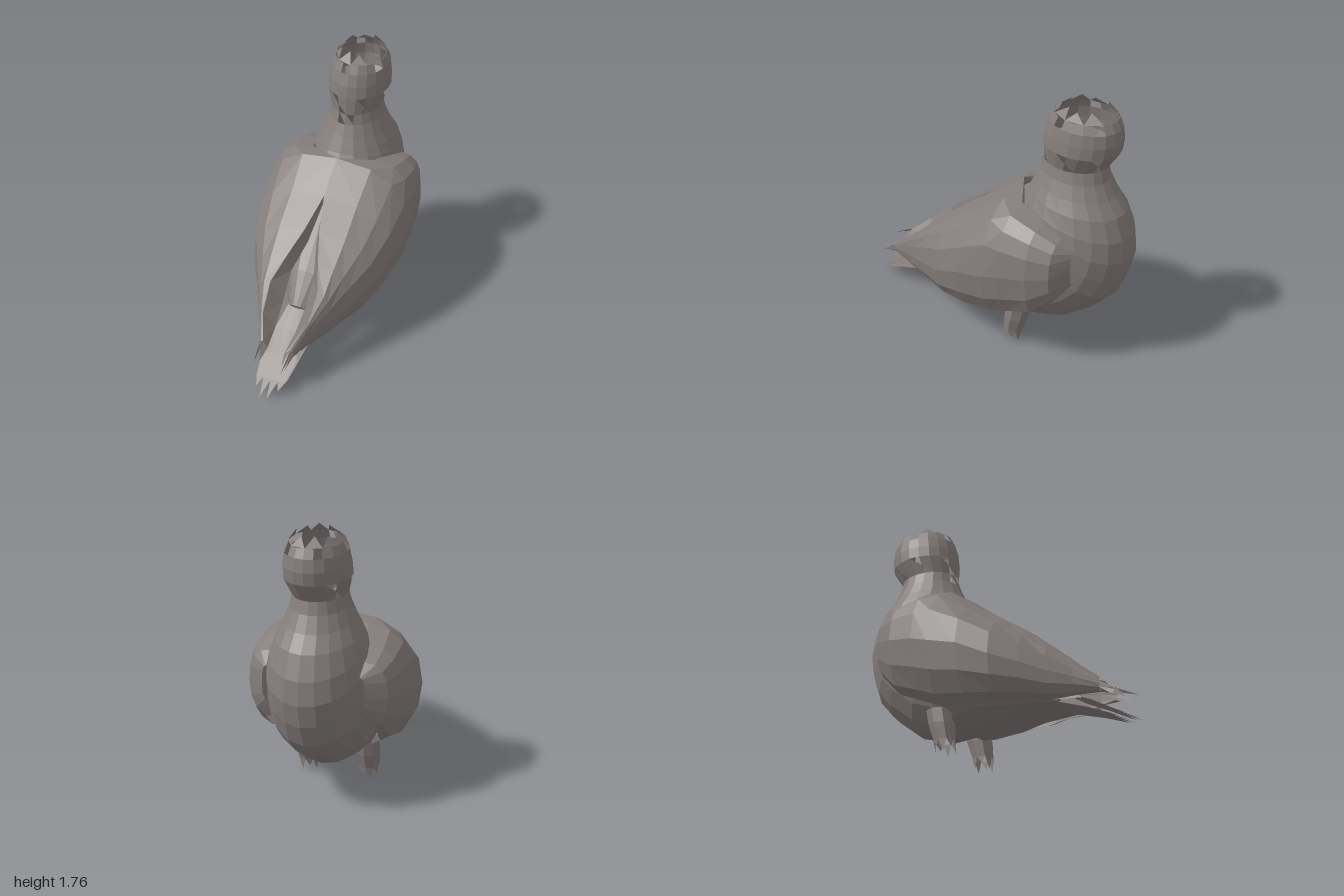
import * as THREE from 'three';

const plumage = new THREE.MeshStandardMaterial({ color: 0x857d7b, flatShading: true, side: THREE.DoubleSide });
plumage.name = 'warm grey plumage';

const SEG = 20;

function meshFrom(name, pos) {
  const g = new THREE.BufferGeometry();
  g.setAttribute('position', new THREE.Float32BufferAttribute(pos, 3));
  g.computeVertexNormals();
  const m = new THREE.Mesh(g, plumage);
  m.name = name;
  return m;
}

// Skin between rows of points; skip(row, column, half) leaves a notch open
function loft(rows, closed, skip = () => false) {
  const pos = [];
  for (let i = 0; i < rows.length - 1; i++) {
    const n = rows[i].length;
    for (let j = 0; j < (closed ? n : n - 1); j++) {
      const k = (j + 1) % n;
      const a = rows[i][j], b = rows[i][k], c = rows[i + 1][k], d = rows[i + 1][j];
      if (!skip(i, j, 0)) pos.push(...a, ...c, ...b);
      if (!skip(i, j, 1)) pos.push(...a, ...d, ...c);
    }
  }
  return pos;
}

// Elliptical ring running from a front point to a back point
function ring([fz, fy, bz, by, w], seg = SEG) {
  return Array.from({ length: seg }, (_, j) => {
    const t = (j / seg) * Math.PI * 2, c = Math.cos(t);
    return [w * Math.sin(t), (fy + by) / 2 + ((fy - by) / 2) * c, (fz + bz) / 2 + ((fz - bz) / 2) * c];
  });
}

// One triangular feather tip for each segment of a row
function spikes(row, closed, tip) {
  const pos = [];
  for (let j = 0; j < (closed ? row.length : row.length - 1); j++) {
    const a = row[j], b = row[(j + 1) % row.length];
    const mid = a.map((v, i) => (v + b[i]) / 2);
    pos.push(...a, ...tip(mid, j), ...b);
  }
  return pos;
}

const everyOther = (row) => row.filter((_, j) => j % 2 === 0);

// Breast, back and neck: frontZ, frontY, backZ, backY, half width
const BODY = [
  [0.36, 0.25, 0.46, 0.38, 0.08],
  [0.12, 0.25, 0.31, 0.56, 0.18],
  [-0.18, 0.18, 0.12, 0.74, 0.28],
  [-0.42, 0.175, 0, 0.86, 0.32],
  [-0.6, 0.23, -0.08, 0.93, 0.335],
  [-0.8, 0.38, -0.15, 1.0, 0.34],
  [-0.91, 0.5, -0.19, 1.04, 0.335],
  [-0.97, 0.65, -0.22, 1.08, 0.325],
  [-1, 0.8, -0.25, 1.1, 0.315],
  [-0.985, 0.95, -0.27, 1.13, 0.295],
  [-0.93, 1.1, -0.29, 1.17, 0.26],
  [-0.86, 1.2, -0.32, 1.23, 0.22],
  [-0.81, 1.3, -0.355, 1.31, 0.183],
  [-0.79, 1.38, -0.37, 1.38, 0.166],
];
const HEAD = [
  [-0.79, 1.38, -0.37, 1.38, 0.166],
  [-0.83, 1.44, -0.37, 1.44, 0.185],
  [-0.868, 1.5, -0.37, 1.5, 0.204],
  [-0.88, 1.58, -0.38, 1.58, 0.2],
  [-0.87, 1.66, -0.405, 1.66, 0.187],
];

// Wing slices: z, inner x, top y, widest x, its y, lower x, lower y, inner wall x, inner wall y
const WING = [
  [-0.745, 0.3, 0.92, 0.33, 0.78, 0.3, 0.68, 0.27, 0.88],
  [-0.66, 0.29, 0.99, 0.45, 0.77, 0.37, 0.56, 0.25, 0.96],
  [-0.52, 0.27, 1.05, 0.5, 0.74, 0.36, 0.41, 0.22, 1.02],
  [-0.33, 0.22, 1.1, 0.515, 0.7, 0.33, 0.33, 0.18, 1.06],
  [-0.21, 0, 1.133, 0.515, 0.66, 0.31, 0.28, 0, 1.09],
  [0, 0, 0.965, 0.49, 0.6, 0.3, 0.25, 0, 0.92],
  [0.2, 0.05, 0.82, 0.43, 0.5, 0.27, 0.24, 0.03, 0.72],
  [0.36, 0.11, 0.695, 0.34, 0.44, 0.22, 0.235, 0.08, 0.58],
  [0.5, 0.165, 0.57, 0.26, 0.38, 0.17, 0.215, 0.08, 0.42],
  [0.65, 0.15, 0.435, 0.18, 0.33, 0.12, 0.23, 0.07, 0.32],
  [0.79, 0.09, 0.32, 0.12, 0.27, 0.08, 0.23, 0.06, 0.27],
];

function wingSlice([z, xi, yt, xm, ym, xb, yb, xw, yw], side) {
  const pts = [[side * xw, yw, z]], bulge = 0.78;
  for (let j = 0; j <= 4; j++) {
    const t = (j / 4) * Math.PI / 2;
    pts.push([side * (xi + (xm - xi) * Math.sin(t) ** bulge), ym + (yt - ym) * Math.cos(t) ** bulge, z]);
  }
  for (let j = 1; j <= 3; j++) {
    const t = (j / 3) * Math.PI / 2;
    pts.push([side * (xb + (xm - xb) * Math.cos(t)), ym + (yb - ym) * Math.sin(t), z]);
  }
  return pts;
}

function makeWing(side) {
  const rows = WING.map((s) => wingSlice(s, side));
  const group = new THREE.Group();
  group.name = side > 0 ? 'leftWing' : 'rightWing';
  group.add(meshFrom('wingShell', loft(rows, false)));
  // ragged flight feathers at the wing tip
  const last = rows[rows.length - 1];
  group.add(meshFrom('wingTipFeathers', spikes(everyOther(last), false, ([x, y], j) =>
    [x * 0.9, 0.2 + (y - 0.22) * 0.45, [0.87, 0.94, 0.9, 0.85][j]])));
  // short feathers along the lower edge
  const edge = rows.slice(7).map((r) => r[r.length - 1]);
  group.add(meshFrom('lowerWingFeathers', spikes(edge, false, ([x, y, z]) => [x * 0.85, y - 0.015, z + 0.1])));
  return group;
}

function makeLeg(side) {
  const levels = [[0.3, -0.315, 0.085], [0.2, -0.295, 0.085], [0.09, -0.27, 0.07]];
  const rows = levels.map(([y, z, r]) => ring([z - r, y, z + r, y, r], 8)
    .map(([x, py, pz]) => [side * (0.21 + x), py, pz]));
  const group = new THREE.Group();
  group.name = side > 0 ? 'leftLeg' : 'rightLeg';
  group.add(meshFrom('legFeathers', loft(rows, true)));
  group.add(meshFrom('legTips', spikes(rows[2], true, ([x, , z], j) => [x, j % 2 ? 0.04 : 0.005, z + 0.01])));
  return group;
}

// Tail sheet: rows of half width, y, z and lift of the outer edges
function makeTail(name, sections, tipY, tipZ) {
  const rows = sections.map(([w, y, z, lift]) =>
    [-1, -0.5, 0, 0.5, 1].map((u) => [u * w, y + lift * u * u, z]));
  const group = new THREE.Group();
  group.name = name;
  group.add(meshFrom('tailSheet', loft(rows, false)));
  group.add(meshFrom('tailTips', spikes(rows[rows.length - 1], false, ([x, y, z], j) => {
    const k = j === 0 || j === 3 ? 0.5 : 1;
    return [x, y + (tipY - y) * k, z + (tipZ - z) * k];
  })));
  return group;
}

export function createModel() {
  const model = new THREE.Group();
  model.name = 'bird';

  const body = BODY.map((r) => ring(r));
  model.add(meshFrom('body', loft(body, true, (i, j, h) => i === 12 && ((j === 9 && h === 1) || (j === 10 && h === 0)))));
  model.add(meshFrom('rump', spikes(body[0], true, () => [0, 0.3, 0.43])));

  // head with open notches around the throat and a ragged, open crown
  const head = HEAD.map((r) => ring(r));
  const notched = (i, j, h) => (i === 0 && j % 3 === 1 && h === 0) || (i === 1 && j % 3 === 2 && h === 1);
  model.add(meshFrom('head', loft(head, true, notched)));
  const inward = (s, y) => ([x, , z]) => [x * s, y, -0.64 + (z + 0.64) * s];
  const brow = head[4].map(inward(0.88, 1.715));
  model.add(meshFrom('crownBand', loft([head[4], brow], true, (i, j) => j % 4 === 2)));
  model.add(meshFrom('crownFeathers', spikes(everyOther(brow), true, (p, j) =>
    inward(j % 2 ? 0.66 : 0.8, 1.77)(p))));

  for (const side of [1, -1]) {
    model.add(makeWing(side));
    model.add(makeLeg(side));
  }

  model.add(makeTail('upperTail', [
    [0.07, 0.37, 0.42, -0.01], [0.1, 0.27, 0.58, -0.01], [0.12, 0.18, 0.74, 0], [0.1, 0.1, 0.88, 0],
  ], 0.04, 1));
  // under-tail coverts flowing into the lower tail feathers
  model.add(makeTail('lowerTail', [
    [0.24, 0.165, -0.2, 0.05], [0.28, 0.18, 0, 0.06], [0.2, 0.225, 0.22, 0.01],
    [0.14, 0.215, 0.5, 0], [0.12, 0.145, 0.7, 0], [0.1, 0.085, 0.84, 0],
  ], 0.04, 0.94));
  return model;
}
